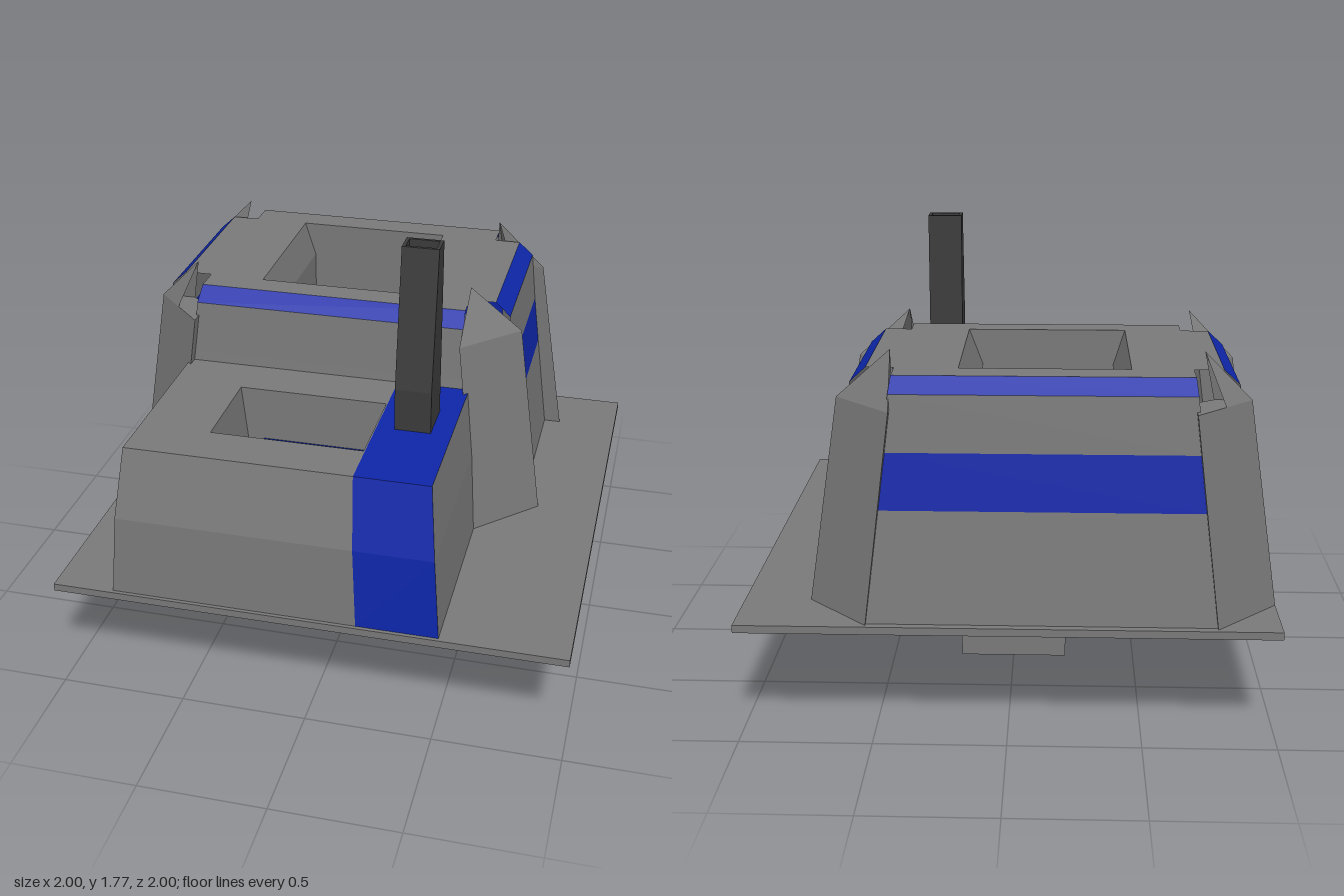
import * as THREE from 'three';

const mat = (name, color) => Object.assign(
  new THREE.MeshStandardMaterial({ color, side: THREE.DoubleSide, flatShading: true }), { name });

export function createModel() {
  const grey = mat('grey concrete', 0x787878);
  const dark = mat('dark metal', 0x3a3a3a);
  const blue = mat('blue trim', 0x0e26a8);
  const light = mat('light panel', 0xc6c6c6);
  const model = new THREE.Group();

  const add = (name, geometry, material) => {
    const mesh = new THREE.Mesh(geometry, material);
    mesh.name = name;
    model.add(mesh);
    return mesh;
  };
  const box = (name, m, x0, x1, y0, y1, z0, z1) =>
    add(name, new THREE.BoxGeometry(x1 - x0, y1 - y0, z1 - z0), m)
      .position.set((x0 + x1) / 2, (y0 + y1) / 2, (z0 + z1) / 2);
  // Sheet made of triangles and quads, each a list of corner points
  const sheet = (name, m, faces) => {
    const pos = [];
    for (const f of faces)
      for (let i = 1; i < f.length - 1; i++) pos.push(...f[0], ...f[i], ...f[i + 1]);
    const g = new THREE.BufferGeometry();
    g.setAttribute('position', new THREE.Float32BufferAttribute(pos, 3));
    g.computeVertexNormals();
    add(name, g, m);
  };
  const flat = (y, x0, x1, z0, z1) => [[x0, y, z1], [x1, y, z1], [x1, y, z0], [x0, y, z0]];
  const rect = (y, x0, x1, z0, z1) => flat(y, x0, x1, z0, z1);
  // Faces joining successive rings of points
  const loft = (rings) => {
    const faces = [];
    for (let r = 0; r < rings.length - 1; r++)
      rings[r].forEach((p, i) => {
        const j = (i + 1) % rings[r].length;
        faces.push([p, rings[r][j], rings[r + 1][j], rings[r + 1][i]]);
      });
    return faces;
  };

  // Foundation
  box('basePlate', grey, -1, 1, 0.44, 0.47, -1, 1);
  box('foundationBlock', grey, -0.217, 0.217, 0, 0.44, -0.217, 0.217);

  // Tower walls: sloping profile with bevelled top, same rule on all sides
  const CX = -0.125, CZ = -0.375, G = 0.47, TOP = 1.365;
  const profile = [[G, 0.155], [0.89, 0.105], [1.1, 0.08], [1.31, 0.06], [TOP, 0]];
  const offset = (y) => {
    let i = 0;
    while (i < profile.length - 2 && y > profile[i + 1][0]) i++;
    const [y0, o0] = profile[i], [y1, o1] = profile[i + 1];
    return o0 + (o1 - o0) * (y - y0) / (y1 - y0);
  };
  const sides = [
    { name: 'left', n: [1, 0], edge: 0.65, low: 0.375, high: 0.325 },
    { name: 'right', n: [-1, 0], edge: 0.655, low: 0.375, high: 0.325, gate: true },
    { name: 'front', n: [0, 1], edge: 0.43, low: 0.64, high: 0.545 },
    { name: 'back', n: [0, -1], edge: 0.44, low: 0.64, high: 0.545 },
  ];
  for (const s of sides) {
    const at = (t, y) => {
      const d = s.edge + offset(y);
      return [CX + s.n[0] * d + Math.abs(s.n[1]) * t, y, CZ + s.n[1] * d + Math.abs(s.n[0]) * t];
    };
    const half = (y) => s.low + (s.high - s.low) * (y - G) / (TOP - G);
    const strip = (y0, y1, a0 = -half(y0), b0 = half(y0), a1 = -half(y1), b1 = half(y1)) =>
      [at(a0, y0), at(b0, y0), at(b1, y1), at(a1, y1)];
    const walls = [strip(1.1, 1.31)];
    if (s.gate) {
      const h = 0.8, a = -0.125, b = 0.175;
      walls.push(strip(G, h, -half(G), a, -half(h), a), strip(G, h, b, half(G), b, half(h)), strip(h, 0.89));
    } else walls.push(strip(G, 0.89));
    sheet(s.name + 'Wall', grey, walls);
    sheet(s.name + 'Band', s.name === 'front' ? grey : blue, [strip(0.89, 1.1)]);
    sheet(s.name + 'Bevel', blue, [strip(1.31, TOP)]);
  }

  // Roof around the courtyard
  sheet('roof', grey, [
    flat(TOP, -0.67, 0.42, -0.815, -0.7), flat(TOP, -0.67, 0.42, -0.05, 0.055),
    flat(TOP, -0.78, -0.445, -0.7, -0.05), flat(TOP, 0.185, 0.525, -0.7, -0.05),
  ]);

  // Courtyard with sloping collar and gate tunnel
  const g0 = -0.5, g1 = -0.2, gh = 0.8, x0 = -0.4, x1 = 0.13;
  const wallX = (x, ya, yb, za, zb) => [[x, ya, za], [x, ya, zb], [x, yb, zb], [x, yb, za]];
  const wallZ = (z, ya, yb, xa, xb) => [[xa, ya, z], [xb, ya, z], [xb, yb, z], [xa, yb, z]];
  sheet('courtyard', grey, [
    ...loft([rect(TOP, -0.445, 0.185, -0.7, -0.05), rect(1.22, x0, x1, -0.7, -0.05)]),
    wallZ(-0.7, G, 1.22, x0, x1), wallZ(-0.05, G, 1.22, x0, x1), wallX(x1, G, 1.22, -0.7, -0.05),
    wallX(x0, gh, 1.22, -0.7, -0.05), wallX(x0, G, gh, -0.7, g0), wallX(x0, G, gh, g1, -0.05),
  ]);
  sheet('gateTunnel', grey, [
    wallZ(g0, G, gh, -0.92, x0), wallZ(g1, G, gh, -0.92, x0), flat(gh, -0.88, x0, g0, g1),
  ]);
  box('roadway', dark, -1, x1, G, 0.474, -0.5, -0.25);
  box('roadBranch', dark, -0.25, 0, G, 0.474, -0.25, -0.05);
  box('roadStripe', blue, x0, x1, 0.474, 0.478, -0.41, -0.34);

  // Corner buttresses with pointed caps
  for (const sx of [1, -1]) for (const sz of [1, -1]) {
    const p = (x, y, z) => [CX + sx * x, y, CZ + sz * z];
    const low = [p(0.875, G, 0.375), p(0.64, G, 0.61), p(0.64, G, 0.48), p(0.73, G, 0.375)];
    const Y = 1.255;
    const high = [p(0.76, Y, 0.33), p(0.545, Y, 0.545), p(0.545, Y, 0.38), p(0.62, Y, 0.33)];
    sheet('cornerButtress', grey, [...loft([low, high]), high]);
    const [A, B, J, I] = high;
    const apex = p(sx > 0 ? 0.555 : 0.58, 1.44, sz > 0 ? 0.37 : 0.35);
    const mid = p(0.655, Y, 0.435);
    sheet('buttressCap', grey, sx > 0
      ? [[A, B, apex], [A, apex, I], [B, apex, J]]
      : [[A, mid, apex], [A, apex, I]]);
  }

  // Front hall, with a blue stripe over the front and top
  const rows = [[G, 0.985, -0.76, 0.2, 0.515], [0.79, 0.965, -0.735, 0.185, 0.49], [1.06, 0.89, -0.71, 0.17, 0.46]];
  const greyFaces = [], blueFaces = [], back = 0.1, H = 1.06;
  for (let i = 0; i < 2; i++) {
    const [ya, za, la, ma, ra] = rows[i], [yb, zb, lb, mb, rb] = rows[i + 1];
    greyFaces.push([[la, ya, za], [ma, ya, za], [mb, yb, zb], [lb, yb, zb]]);
    blueFaces.push([[ma, ya, za], [ra, ya, za], [rb, yb, zb], [mb, yb, zb]]);
    greyFaces.push([[la, ya, back], [la, ya, za], [lb, yb, zb], [lb, yb, back]]);
    greyFaces.push([[ra, ya, za], [ra, ya, back], [rb, yb, back], [rb, yb, zb]]);
  }
  greyFaces.push(
    flat(H, -0.71, -0.43, back, 0.89), flat(H, 0.165, 0.17, back, 0.89),
    flat(H, -0.43, 0.165, back, 0.33), flat(H, -0.43, 0.165, 0.705, 0.89),
    ...loft([rect(H, -0.43, 0.165, 0.33, 0.705), rect(0.78, -0.4, 0.14, 0.335, 0.695)]));
  blueFaces.push(flat(H, 0.17, 0.46, back, 0.89));
  sheet('hall', grey, greyFaces);
  sheet('hallStripe', blue, blueFaces);

  // Sunken hall panel
  sheet('panelFrame', dark, [flat(0.78, -0.4, 0.14, 0.335, 0.695)]);
  box('sunkenPanel', light, -0.38, 0.12, 0.78, 0.785, 0.355, 0.685);
  box('recessStripe', blue, -0.34, 0.1, 0.815, 0.84, 0.333, 0.338);

  // Hollow chimney with a slanted front
  sheet('chimney', dark, loft([
    rect(H, 0.24, 0.38, 0.34, 0.52), rect(1.23, 0.24, 0.38, 0.34, 0.52),
    rect(1.77, 0.24, 0.38, 0.34, 0.43), rect(1.77, 0.253, 0.367, 0.352, 0.418),
    rect(1.6, 0.253, 0.367, 0.352, 0.418),
  ]));
  sheet('flueFloor', grey, [flat(1.6, 0.253, 0.367, 0.352, 0.418)]);

  return model;
}
